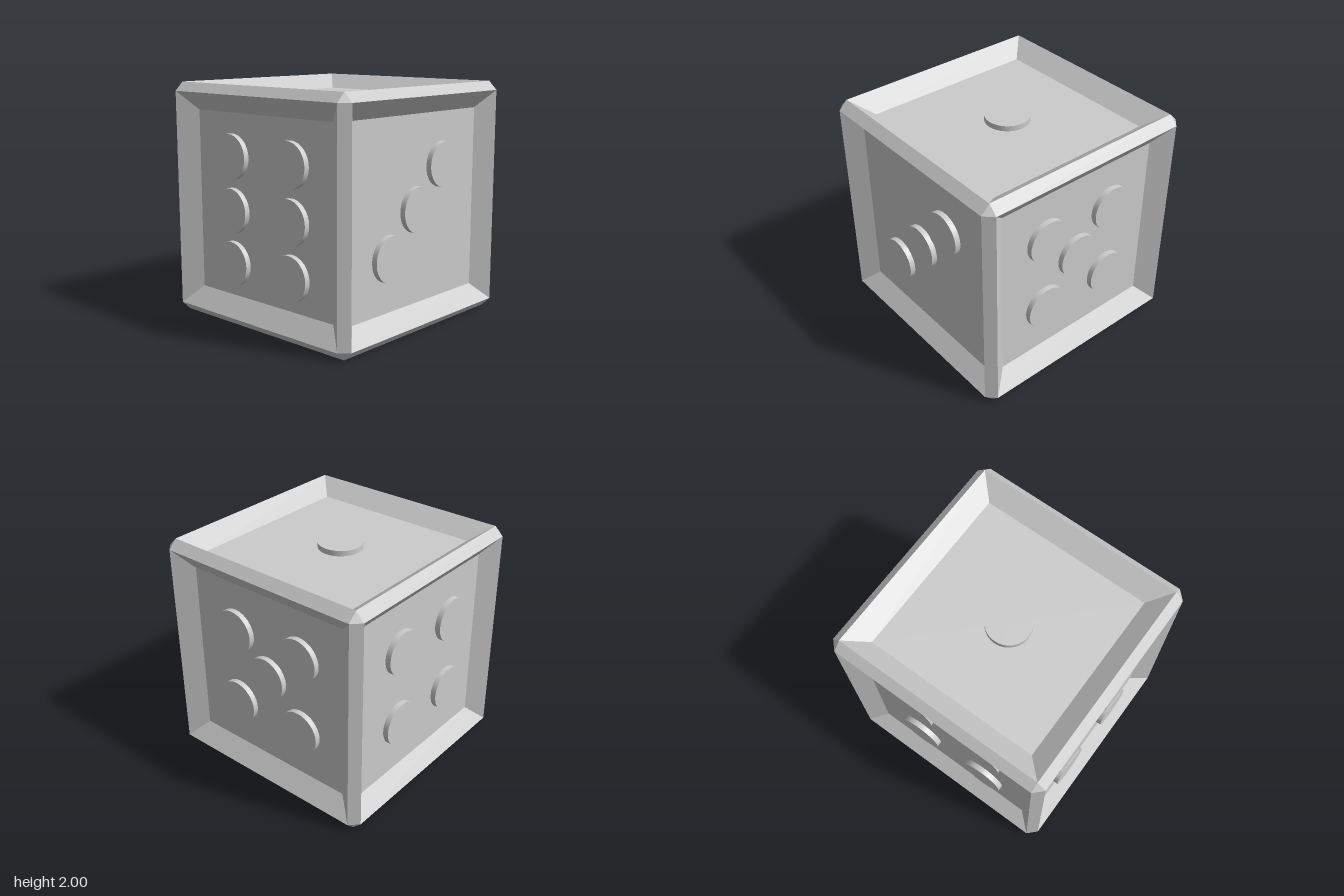
import * as THREE from 'three';

const RIM = 0.925;     // half width of each rim square
const FLOOR = 0.875;   // distance of the recessed floors from the centre
const PIP_R = 0.19;
const PIP_H = 0.047;

const material = new THREE.MeshStandardMaterial({ color: 0xcccccc, flatShading: true });
const smooth = new THREE.MeshStandardMaterial({ color: 0xcccccc });

// Flat-shaded geometry from convex polygons given as lists of Vector3
function polygons(list) {
  const pos = [];
  for (const p of list) {
    for (let i = 1; i < p.length - 1; i++) {
      for (const v of [p[0], p[i], p[i + 1]]) pos.push(v.x, v.y, v.z);
    }
  }
  const g = new THREE.BufferGeometry();
  g.setAttribute('position', new THREE.Float32BufferAttribute(pos, 3));
  g.computeVertexNormals();
  return g;
}

// Turn a polygon so that it faces away from the centre
function outward(p) {
  const n = p[1].clone().sub(p[0]).cross(p[2].clone().sub(p[0]));
  return n.dot(p[0]) < 0 ? p.reverse() : p;
}

// Recessed panel facing +z: sloping walls from the rim down to the floor
function panelGeometry(inner) {
  const square = (h, z) => [[-1, -1], [1, -1], [1, 1], [-1, 1]].map(([x, y]) => new THREE.Vector3(x * h, y * h, z));
  const rim = square(RIM, 1), floor = square(inner, FLOOR);
  const list = [floor];
  for (let i = 0; i < 4; i++) {
    const j = (i + 1) % 4;
    list.push([rim[i], rim[j], floor[j], floor[i]]);
  }
  return polygons(list);
}

// Bevels along the 12 edges and triangles at the 8 corners
function bevelGeometry() {
  const list = [];
  const signs = [-1, 1];
  const point = (axes, values) => {
    const v = new THREE.Vector3();
    axes.forEach((a, i) => v.setComponent(a, values[i]));
    return v;
  };
  for (let a = 0; a < 3; a++) {
    const axes = [a, (a + 1) % 3, (a + 2) % 3];
    for (const s of signs) for (const t of signs) {
      list.push(outward([
        point(axes, [-RIM, s, t * RIM]), point(axes, [RIM, s, t * RIM]),
        point(axes, [RIM, s * RIM, t]), point(axes, [-RIM, s * RIM, t]),
      ]));
    }
  }
  for (const x of signs) for (const y of signs) for (const z of signs) {
    list.push(outward([
      new THREE.Vector3(x, y * RIM, z * RIM),
      new THREE.Vector3(x * RIM, y, z * RIM),
      new THREE.Vector3(x * RIM, y * RIM, z),
    ]));
  }
  return polygons(list);
}

// Each side: rotation about x and y, half width of its floor, pip centres
const Q = Math.PI / 2;
const SIDES = [
  { name: 'front', rx: 0, ry: 0, inner: 0.78, pips: [[-0.36, -0.335], [-0.02, 0.01], [0.31, 0.345]] },
  { name: 'right', rx: 0, ry: Q, inner: 0.77,
    pips: [[-0.335, 0.345], [0.345, 0.345], [0, 0.03], [-0.335, -0.335], [0.345, -0.335]] },
  { name: 'back', rx: 0, ry: 2 * Q, inner: 0.78,
    pips: [[-0.3, 0.35], [0.37, 0.35], [-0.3, -0.325], [0.37, -0.325]] },
  { name: 'left', rx: 0, ry: -Q, inner: 0.77,
    pips: [0.41, -0.04, -0.49].flatMap((v) => [[-0.35, v], [0.33, v]]) },
  { name: 'top', rx: -Q, ry: 0, inner: 0.76, pips: [[-0.01, 0.02]] },
  { name: 'bottom', rx: Q, ry: 0, inner: 0.76, pips: [[0.37, -0.34], [-0.29, 0.31]] },
];

export function createModel() {
  const model = new THREE.Group();
  model.name = 'die';

  const body = new THREE.Group();
  body.name = 'body';
  body.position.y = 1;
  model.add(body);

  const bevels = new THREE.Mesh(bevelGeometry(), material);
  bevels.name = 'bevelledEdges';
  body.add(bevels);

  const pipGeometry = new THREE.CylinderGeometry(PIP_R, PIP_R, PIP_H, 32);
  pipGeometry.rotateX(Q);

  for (const { name, rx, ry, inner, pips } of SIDES) {
    const side = new THREE.Group();
    side.name = name + 'Side';
    side.rotation.set(rx, ry, 0);

    const panel = new THREE.Mesh(panelGeometry(inner), material);
    panel.name = name + 'Panel';
    side.add(panel);

    // Raised round pips standing on the floor
    for (const [u, v] of pips) {
      const pip = new THREE.Mesh(pipGeometry, smooth);
      pip.name = name + 'Pip';
      pip.position.set(u, v, FLOOR + PIP_H / 2);
      side.add(pip);
    }
    body.add(side);
  }
  return model;
}
